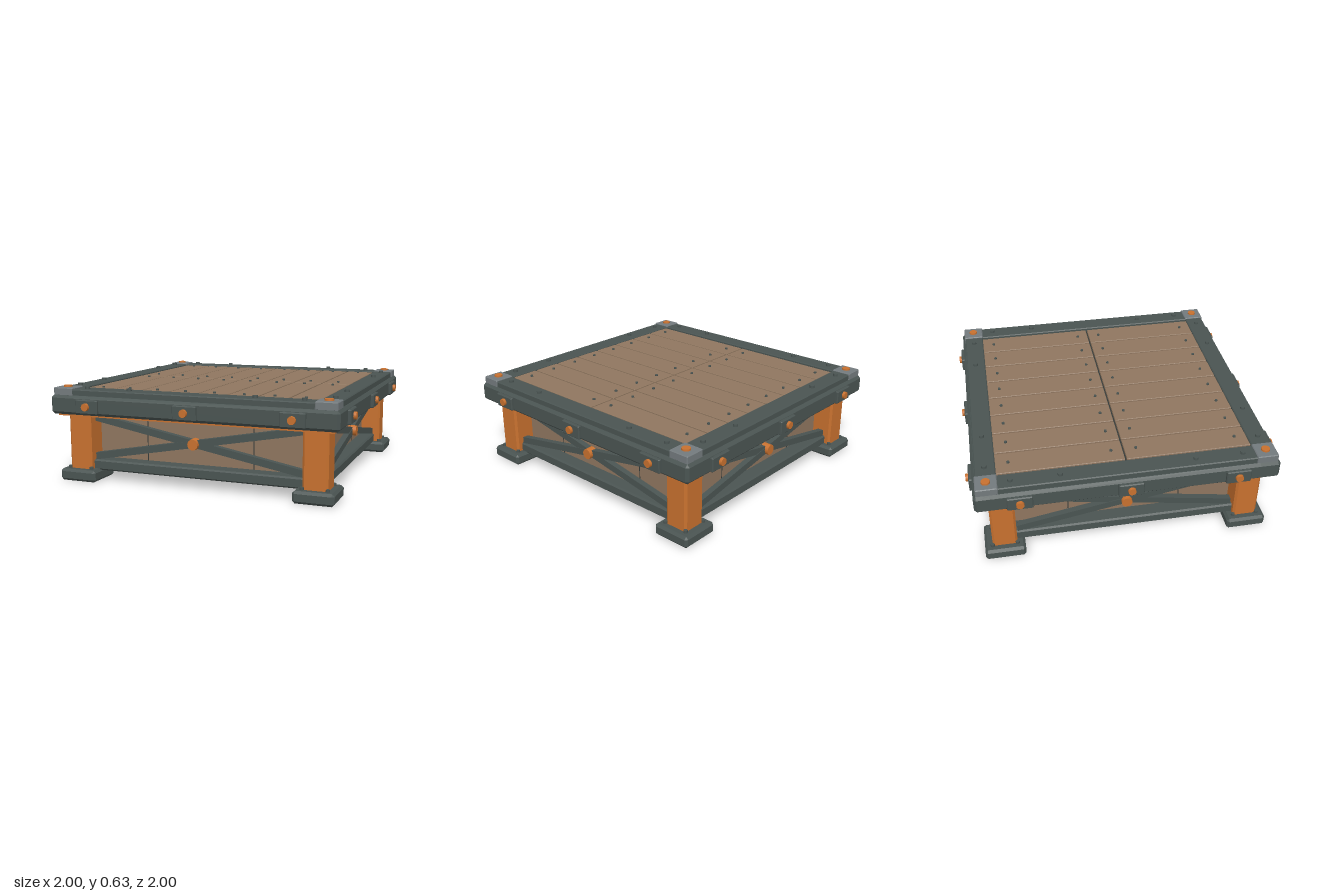
import * as THREE from 'three';
import { ConvexGeometry } from 'three/addons/geometries/ConvexGeometry.js';

const material = (name, color) => {
  const m = new THREE.MeshStandardMaterial({ color });
  m.name = name;
  return m;
};

export function createModel() {
  const iron = material('dark iron', 0x4a5452);
  const seam = material('dark seam', 0x343a39);
  const wood = material('brown wood', 0x8f765f);
  const copper = material('orange copper', 0xc8712f);
  const steel = material('grey steel', 0x737a7d);
  const model = new THREE.Group();
  model.name = 'platform';

  const add = (parent, name, geometry, mat) => {
    const mesh = new THREE.Mesh(geometry, mat);
    mesh.name = name;
    parent.add(mesh);
    return mesh;
  };

  // Box given by its limits, with all edges chamfered by c
  const block = (parent, name, mat, [x0, x1], [y0, y1], [z0, z1], c = 0) => {
    const w = x1 - x0, h = y1 - y0, d = z1 - z0;
    let g;
    if (c) {
      const pts = [];
      for (const sx of [-1, 1]) for (const sy of [-1, 1]) for (const sz of [-1, 1]) {
        const X = w / 2, Y = h / 2, Z = d / 2;
        pts.push(new THREE.Vector3(sx * X, sy * (Y - c), sz * (Z - c)));
        pts.push(new THREE.Vector3(sx * (X - c), sy * Y, sz * (Z - c)));
        pts.push(new THREE.Vector3(sx * (X - c), sy * (Y - c), sz * Z));
      }
      g = new ConvexGeometry(pts);
    } else {
      g = new THREE.BoxGeometry(w, h, d);
    }
    const mesh = add(parent, name, g, mat);
    mesh.position.set((x0 + x1) / 2, (y0 + y1) / 2, (z0 + z1) / 2);
    return mesh;
  };

  // Round bolt standing up from y0 to y1
  const boltUp = (parent, name, mat, r, x, z, y0, y1, sides = 12) => {
    const g = new THREE.CylinderGeometry(r * 0.92, r, y1 - y0, sides);
    add(parent, name, g, mat).position.set(x, (y0 + y1) / 2, z);
  };

  // Round bolt pointing out along +z
  const boltOut = (parent, name, mat, r, x, y, z0, z1) => {
    const g = new THREE.CylinderGeometry(r * 0.94, r, z1 - z0, 16).rotateX(Math.PI / 2);
    add(parent, name, g, mat).position.set(x, y, (z0 + z1) / 2);
  };

  // Deck: dark underlay, two rows of eight planks, and nails
  block(model, 'deckUnderlay', seam, [-0.82, 0.82], [0.46, 0.585], [-0.82, 0.82]);
  const deck = new THREE.Group();
  deck.name = 'deck';
  model.add(deck);
  for (let i = 0; i < 8; i++) {
    const x = -0.7 + i * 0.2;
    for (const s of [-1, 1]) {
      const zs = [s * 0.006, s * 0.81].sort((a, b) => a - b);
      block(deck, 'plank', wood, [x - 0.094, x + 0.094], [0.57, 0.606], zs, 0.003);
      for (const z of [0.08, 0.73]) boltUp(deck, 'nail', iron, 0.01, x, s * z, 0.6, 0.616, 8);
    }
  }

  // One side, facing +z, then turned to all four directions
  for (let k = 0; k < 4; k++) {
    const side = new THREE.Group();
    side.name = 'side';
    side.rotation.y = k * Math.PI / 2;
    model.add(side);

    // Upper frame with its raised cap
    block(side, 'frameBeam', iron, [-0.962, 0.962], [0.45, 0.575], [0.81, 0.962], 0.018);
    block(side, 'frameCap', iron, [-0.94, 0.94], [0.56, 0.614], [0.81, 0.94], 0.006);
    for (const x of [-0.73, -0.425, 0.425, 0.73]) {
      boltUp(side, 'frameBolt', iron, 0.017, x, 0.878, 0.605, 0.63);
    }
    for (const x of [-0.685, 0, 0.685]) {
      block(side, 'sidePlate', iron, [x - 0.08, x + 0.08], [0.463, 0.555], [0.95, 0.982], 0.006);
      boltOut(side, 'sideBolt', copper, 0.026, x, 0.51, 0.97, 1);
    }

    // Copper trim below the frame
    block(side, 'outerTrim', copper, [-0.925, 0.925], [0.437, 0.46], [0.84, 0.925]);
    block(side, 'innerTrim', copper, [-0.84, 0.84], [0.43, 0.458], [0.73, 0.84]);

    // Wooden skirt with thin seams
    block(side, 'skirtPanel', wood, [-0.73, 0.73], [0.08, 0.462], [0.68, 0.74]);
    for (const x of [-0.37, 0.37]) {
      block(side, 'skirtSeam', seam, [x - 0.003, x + 0.003], [0.1, 0.44], [0.738, 0.742]);
    }

    // Bottom rail and cross braces
    block(side, 'bottomRail', iron, [-0.75, 0.75], [0.068, 0.138], [0.73, 0.84], 0.01);
    [-1, 1].forEach((s, i) => {
      const a = 0.29 - s * 0.13, b = 0.29 + s * 0.13, t = 0.023;
      const shape = new THREE.Shape([
        new THREE.Vector2(-0.71, a - t), new THREE.Vector2(0.71, b - t),
        new THREE.Vector2(0.71, b + t), new THREE.Vector2(-0.71, a + t),
      ]);
      const g = new THREE.ExtrudeGeometry(shape, { depth: 0.04, bevelEnabled: false });
      add(side, 'crossBrace', g, iron).position.z = 0.79 + i * 0.004;
    });
    boltOut(side, 'braceBolt', copper, 0.037, 0, 0.29, 0.8, 0.856);

    // Corner leg, foot and top plate
    block(side, 'leg', copper, [0.72, 0.88], [0.06, 0.46], [0.72, 0.88], 0.014);
    block(side, 'foot', iron, [0.67, 0.93], [0, 0.078], [0.67, 0.93], 0.016);
    for (const dx of [-0.08, 0.08]) for (const dz of [-0.08, 0.08]) {
      boltUp(side, 'footBolt', iron, 0.014, 0.8 + dx, 0.8 + dz, 0.07, 0.094, 8);
    }
    block(side, 'cornerPlate', steel, [0.808, 0.945], [0.57, 0.622], [0.808, 0.945], 0.005);
    boltUp(side, 'cornerBolt', copper, 0.03, 0.877, 0.877, 0.61, 0.633, 16);
  }
  return model;
}
